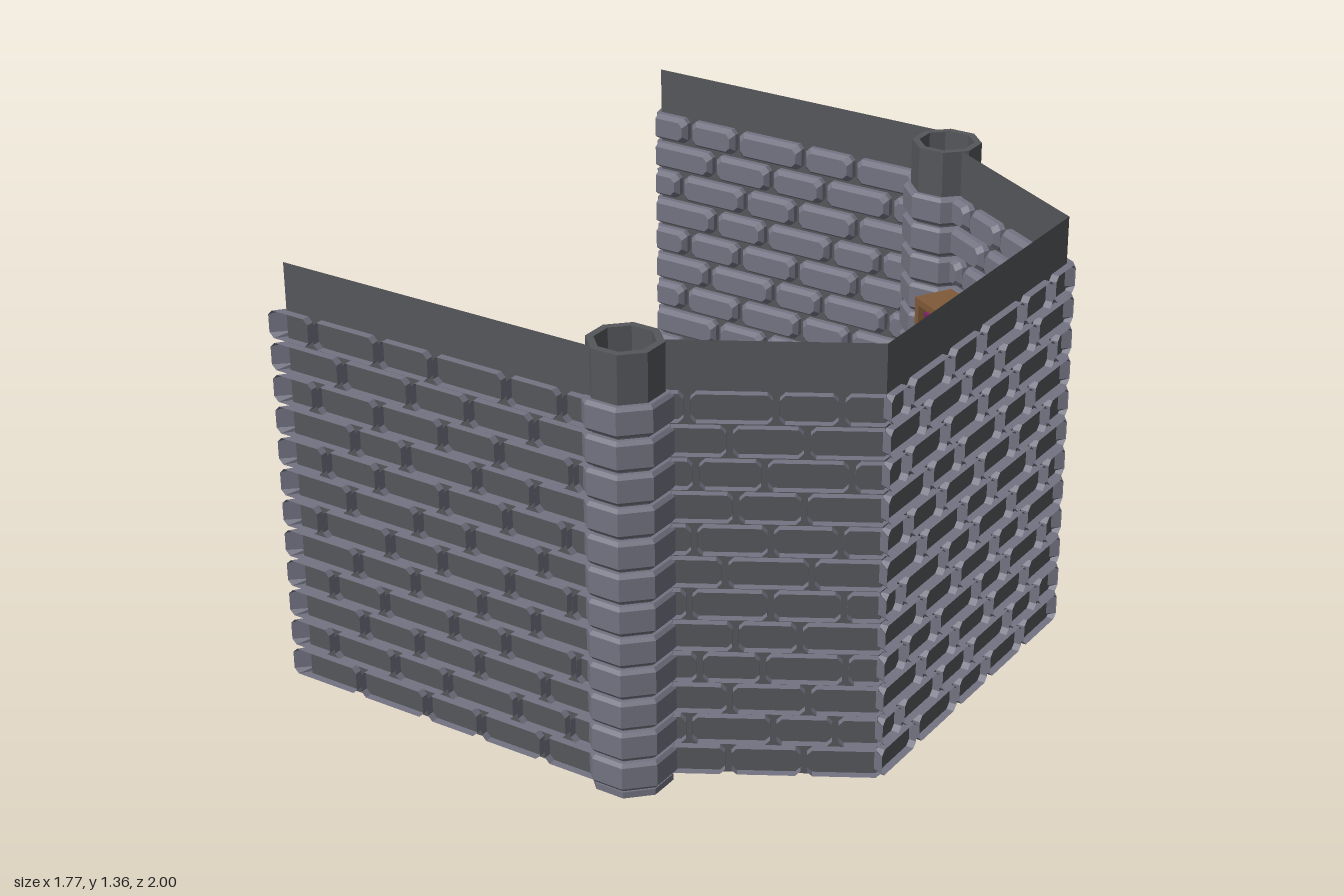
import * as THREE from 'three';
import { mergeGeometries } from 'three/addons/utils/BufferGeometryUtils.js';

const mat = (color, side = THREE.FrontSide) => new THREE.MeshStandardMaterial({ color, flatShading: true, side });
const M = {
  wall: mat(0x55565b, THREE.DoubleSide), brick: mat(0x737382, THREE.DoubleSide),
  wood: mat(0x805a38), gold: mat(0xc4a450), purple: mat(0x7d2266), iron: mat(0x4a1838), chain: mat(0x2c2230),
  brew: mat(0x8caa2e), red: mat(0xb42c4c), green: mat(0x3f6a34), teal: mat(0x2f6a50), brown: mat(0x6a3c1a), page: mat(0xc8b48a),
};
const FLOOR = 0.022, TOP = 1.36, COURSES = 12, PITCH = 0.1;

function add(parent, name, geo, material, x = 0, y = 0, z = 0, ry = 0) {
  const m = new THREE.Mesh(geo, material);
  m.name = name;
  m.position.set(x, y, z);
  m.rotation.y = ry;
  parent.add(m);
  return m;
}
const box = (p, name, material, w, h, d, x, y, z, ry = 0) =>
  add(p, name, new THREE.BoxGeometry(w, h, d), material, x, y, z, ry);
function subgroup(parent, name, x, y, z, ry = 0) {
  const g = new THREE.Group();
  g.name = name;
  g.position.set(x, y, z);
  g.rotation.y = ry;
  parent.add(g);
  return g;
}
const lathe = (pts, sides) =>
  new THREE.LatheGeometry(pts.map((p) => new THREE.Vector2(...p)), sides, Math.PI / sides);

// Open-backed brick with cut corners and a bevelled inner face; overhanging ends slant back to the wall's edge
function brick(x0, x1, y0, y1, len) {
  const pos = [], idx = [], c = 0.015;
  for (const [inset, z] of [[0, -0.024], [0, 0.018], [0.012, 0.036]]) {
    const a = x0 + inset, b = x1 - inset, d = y0 + inset, e = y1 - inset;
    for (const [x, y] of [[a + c, d], [b - c, d], [b, d + c], [b, e - c], [b - c, e], [a + c, e], [a, e - c], [a, d + c]])
      pos.push(z > 0 ? THREE.MathUtils.clamp(x, 0, len) : x, y, z);
  }
  for (let l = 0; l < 2; l++) for (let i = 0; i < 8; i++) {
    const a = l * 8 + i, b = l * 8 + (i + 1) % 8;
    idx.push(a, b, b + 8, a, b + 8, a + 8);
  }
  for (let i = 1; i < 7; i++) idx.push(16, 16 + i, 17 + i);
  const g = new THREE.BufferGeometry();
  g.setAttribute('position', new THREE.Float32BufferAttribute(pos, 3));
  g.setIndex(idx);
  g.computeVertexNormals();
  return g;
}

// Thin wall from p to q with staggered courses; local +z points into the room
function wall(parent, name, [px, pz], [qx, qz], startOver, endOver) {
  const len = Math.hypot(qx - px, qz - pz);
  const g = subgroup(parent, name, px, 0, pz, Math.atan2(pz - qz, qx - px));
  add(g, 'wallPanel', new THREE.PlaneGeometry(len, TOP - FLOOR), M.wall, len / 2, (TOP + FLOOR) / 2, 0);
  const n = Math.round(len / 0.21), step = len / n, bricks = [];
  for (let r = 0; r < COURSES; r++) {
    const y = FLOOR + 0.006 + r * PITCH, cuts = [-startOver];
    for (let i = 0; i < n; i++) {
      const c = (i + (r % 2 ? 0.5 : 1) + 0.08 * Math.sin(r * 1.9 + i * 2.7)) * step;
      if (c < len - 0.05) cuts.push(c);
    }
    cuts.push(len + endOver);
    for (let i = 0; i + 1 < cuts.length; i++)
      bricks.push(brick(cuts[i] + (i ? 0.009 : 0), cuts[i + 1] - (i + 2 < cuts.length ? 0.009 : 0), y, y + 0.085, len));
  }
  add(g, 'wallBricks', mergeGeometries(bricks), M.brick);
}

// Eight-sided hollow tower with a bevelled ring for each course
function tower(parent, name, x, z) {
  const g = subgroup(parent, name, x, 0, z);
  add(g, 'towerShaft', lathe([[0.085, 0], [0.108, 0], [0.108, TOP], [0.085, TOP], [0.085, 0]], 8), M.wall);
  add(g, 'towerFoot', lathe([[0.085, 0], [0.12, 0], [0.12, 0.02], [0.1, 0.02]], 8), M.brick);
  const rings = [];
  for (let r = 0; r < COURSES; r++) {
    const y = FLOOR + 0.003 + r * PITCH;
    rings.push(lathe([[0.1, y], [0.121, y], [0.131, y + 0.011], [0.131, y + 0.079], [0.121, y + 0.09], [0.1, y + 0.09]], 8));
  }
  add(g, 'towerRings', mergeGeometries(rings), M.brick);
}

function book(parent, color, x, y, z, ry, w = 0.13, d = 0.1, h = 0.032) {
  const g = subgroup(parent, 'book', x, y, z, ry);
  for (const s of [0.1, 0.9]) box(g, 'bookCover', color, w, h * 0.2, d, 0, h * s, 0);
  box(g, 'bookPages', M.page, w * 0.93, h * 0.6, d * 0.92, 0.002, h * 0.5, 0);
  box(g, 'bookSpine', color, w * 0.05, h, d, -w * 0.475, h * 0.5, 0);
}
function bookPile(parent, x, z, colors, turn, h = 0.032) {
  const g = subgroup(parent, 'bookPile', x, FLOOR, z);
  colors.forEach((c, i) => book(g, c, 0.012 * Math.sin(i * 2.3), i * h, 0.012 * Math.cos(i * 1.7),
    turn + (colors.length - 1 - i) * 0.45, 0.14, 0.12, h));
}
function coins(parent, x, y, z) {
  for (let i = 0; i < 4; i++) {
    const a = i * Math.PI * 2 / 3, r = i < 3 ? 0.017 : 0;
    add(parent, 'coin', new THREE.CylinderGeometry(0.014, 0.014, 0.008, 10), M.gold,
      x + r * Math.cos(a), y + (i < 3 ? 0.004 : 0.012), z + r * Math.sin(a));
  }
}

export function createModel() {
  const root = new THREE.Group();
  root.name = 'towerRoom';

  // Floor
  const outline = [[-0.848, -0.955], [0.2, -0.945], [0.4, -0.79], [0.86, -0.525], [0.86, 0.53],
    [0.4, 0.8], [0.2, 0.965], [-0.815, 0.97], [-0.855, 0]];
  const floor = new THREE.Shape(outline.map((p) => new THREE.Vector2(...p)));
  add(root, 'floor', new THREE.ShapeGeometry(floor).rotateX(Math.PI / 2), M.wall, 0, FLOOR, 0);

  // Walls and towers
  wall(root, 'backWall', [-0.848, -0.952], [0.25, -0.945], 0.034, 0);
  wall(root, 'backCornerWall', [0.33, -0.83], [0.862, -0.522], 0, 0.013);
  wall(root, 'sideWall', [0.862, -0.522], [0.862, 0.53], 0.013, 0.013);
  wall(root, 'frontCornerWall', [0.862, 0.53], [0.33, 0.84], 0.013, 0);
  wall(root, 'frontWall', [0.25, 0.965], [-0.83, 0.968], 0, 0.048);
  tower(root, 'backTower', 0.264, -0.877);
  tower(root, 'frontTower', 0.264, 0.877);

  // Banner on the front tower
  const banner = subgroup(root, 'banner', 0.264 - 0.089, 0.87, 0.877 - 0.089, -Math.PI * 0.75);
  box(banner, 'bannerCloth', M.purple, 0.072, 0.5, 0.008, 0, 0, 0);
  for (const s of [-1, 1]) box(banner, 'bannerTrim', M.gold, 0.012, 0.5, 0.011, s * 0.041, 0, 0);

  // Bookcase along the back corner wall
  const bookcase = subgroup(root, 'bookcase', 0.556, 0, -0.556, -0.514);
  for (const s of [-1, 1]) box(bookcase, 'bookcaseSide', M.wood, 0.02, 0.915, 0.13, s * 0.235, 0.4825, 0);
  box(bookcase, 'bookcaseBack', M.wood, 0.46, 0.9, 0.012, 0, 0.48, -0.058);
  box(bookcase, 'bookcaseFoot', M.wood, 0.1, 0.024, 0.1, -0.03, 0.031, 0.01);
  const spines = [M.green, M.brown, M.teal, M.purple, M.red];
  for (let s = 0; s < 5; s++) {
    const y = 0.05 + s * 0.22;
    box(bookcase, 'bookcaseShelf', M.wood, 0.49, 0.022, 0.132, 0, y, 0);
    if (s < 4) for (let i = 0; i < 8; i++) {
      const h = 0.12 + 0.02 * ((i * 3 + s) % 4);
      box(bookcase, 'shelvedBook', spines[(i * 2 + s) % 5], 0.034, h, 0.1, -0.19 + i * 0.042, y + 0.011 + h / 2, 0.005);
    }
  }
  book(bookcase, M.green, -0.07, 0.06, 0.07, 0.3, 0.1, 0.09);

  // Side table with a cloth runner
  const table = subgroup(root, 'sideTable', 0.752, 0, -0.24);
  box(table, 'tableTop', M.wood, 0.15, 0.03, 0.48, 0, 0.4, 0);
  for (const sx of [-1, 1]) for (const sz of [-1, 1])
    box(table, 'tableLeg', M.wood, 0.03, 0.362, 0.03, sx * 0.055, 0.206, sz * 0.215);
  const runner = (name, m, d, z, t) => {
    box(table, name, m, 0.152, t, d, 0, 0.417, z);
    box(table, name, m, t, 0.15, d, -0.075, 0.345, z);
  };
  runner('tableCloth', M.purple, 0.16, -0.015, 0.006);
  for (const s of [-1, 1]) runner('clothTrim', M.gold, 0.028, -0.015 + s * 0.094, 0.007);
  coins(table, 0.01, 0.415, 0.17);

  // Cauldron with brew, hung from two chains
  const cauldron = subgroup(root, 'cauldron', 0.532, 0, 0.365);
  const body = [[0, 0.2], [0.08, 0.21], [0.13, 0.26], [0.148, 0.33], [0.14, 0.41], [0.128, 0.46], [0.148, 0.475],
    [0.157, 0.49], [0.148, 0.505], [0.133, 0.505], [0.125, 0.49], [0.122, 0.46]];
  add(cauldron, 'cauldronBody', lathe(body, 12), M.iron);
  add(cauldron, 'brew', new THREE.CylinderGeometry(0.127, 0.127, 0.01, 12), M.brew, 0, 0.475, 0);
  const links = 17;
  for (const s of [-1, 1]) {
    add(cauldron, 'cauldronEar', new THREE.TorusGeometry(0.02, 0.007, 6, 10), M.iron, 0, 0.5, s * 0.155, Math.PI / 2);
    for (let i = 0; i <= links; i++) {
      const t = i / links;
      const holder = subgroup(cauldron, 'chainLink', 0, 0.51 + t * 0.51, s * 0.168 * (1 - t));
      holder.rotation.x = -s * 0.32;
      const geo = new THREE.TorusGeometry(0.01, 0.0035, 5, 8).scale(1, 1.7, 1);
      add(holder, 'link', geo, M.chain, 0, 0, 0, i % 2 ? 0 : Math.PI / 2);
    }
  }

  // Book piles on the floor
  bookPile(root, 0.185, 0.67, [M.teal, M.page, M.red, M.purple], 0.95);
  bookPile(root, 0.37, 0.665, [M.green, M.brown, M.teal, M.green, M.red], -0.6);
  bookPile(root, 0.3, -0.65, [M.teal, M.green, M.brown, M.purple, M.green, M.brown, M.green], 0.6, 0.04);
  coins(root, 0.31, FLOOR + 0.28, -0.66);
  return root;
}
